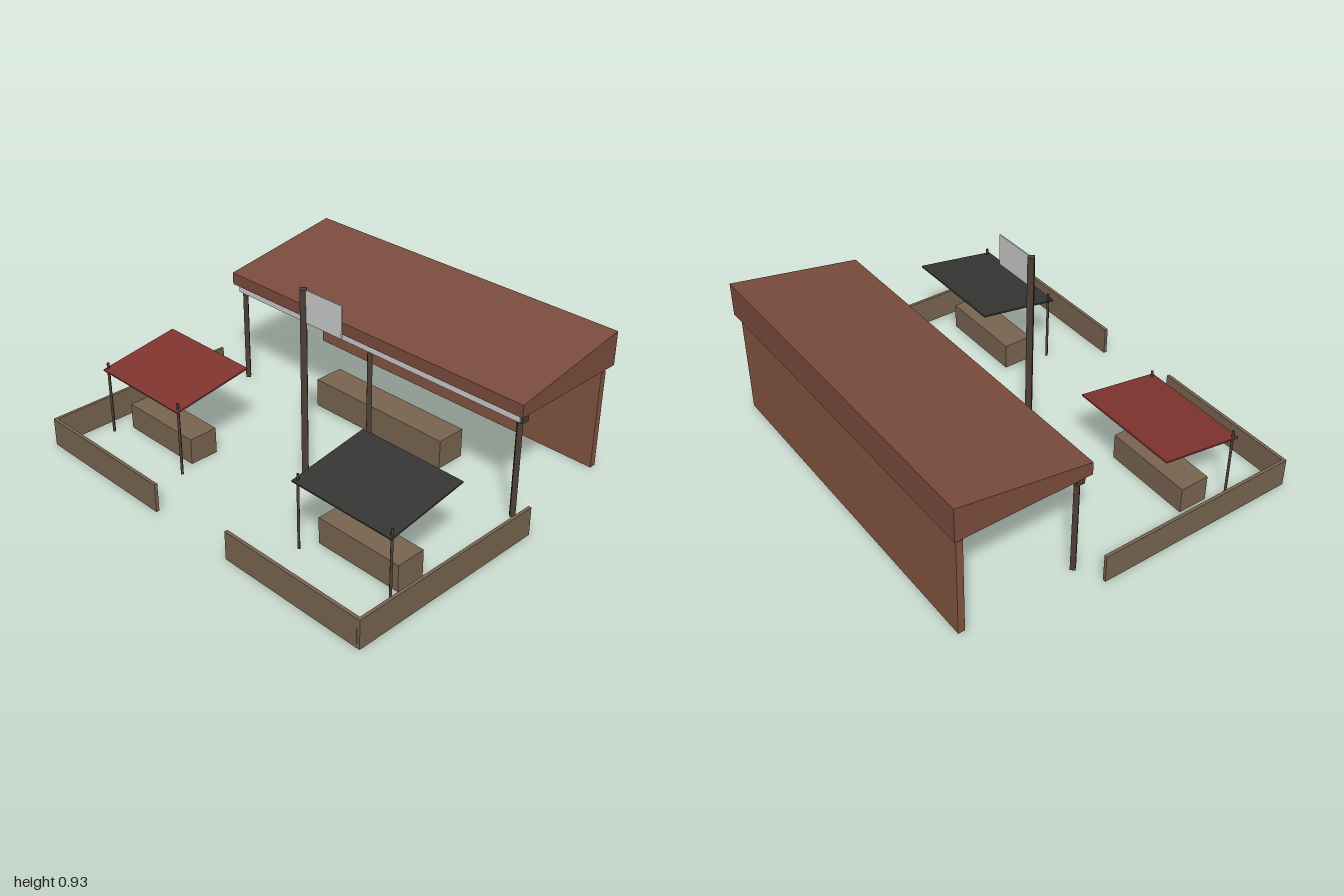
import * as THREE from 'three';

const mat = (color) => new THREE.MeshStandardMaterial({ color, flatShading: true });

export function createModel() {
  const model = new THREE.Group();
  const wood = mat(0x786450), darkWood = mat(0x4c3e34), roofBrown = mat(0x7a4c3d);
  const wallBrown = mat(0x845540), grey = mat(0xcccccc), red = mat(0x80342f), black = mat(0x353533);

  const add = (name, geometry, material, x = 0, y = 0, z = 0) => {
    const mesh = new THREE.Mesh(geometry, material);
    mesh.name = name;
    mesh.position.set(x, y, z);
    model.add(mesh);
    return mesh;
  };
  // Box given by its limits on each axis
  const box = (name, material, [x0, x1], [y0, y1], [z0, z1]) =>
    add(name, new THREE.BoxGeometry(x1 - x0, y1 - y0, z1 - z0), material,
      (x0 + x1) / 2, (y0 + y1) / 2, (z0 + z1) / 2);
  // Four-sided post standing on the ground, corners along the axes
  const post = (name, material, r, h, x, z) =>
    add(name, new THREE.CylinderGeometry(r, r, h, 4), material, x, h / 2, z);

  // Shelter: wedge roof, back wall, beam with fascia strip and three posts
  const profile = new THREE.Shape([[0.197, 0.525], [0.843, 0.525], [0.843, 0.692], [0.197, 0.586]]
    .map(([x, y]) => new THREE.Vector2(x, y)));
  const roof = new THREE.ExtrudeGeometry(profile, { depth: 1.81, bevelEnabled: false });
  roof.translate(0, 0, -0.905).rotateY(Math.PI / 2);
  add('shelterRoof', roof, roofBrown);
  box('backWall', wallBrown, [-0.88, 0.88], [0, 0.494], [-0.822, -0.79]);
  box('roofBeam', darkWood, [-0.89, 0.89], [0.48, 0.525], [-0.262, -0.222]);
  box('fasciaStrip', grey, [-0.88, 0.88], [0.485, 0.525], [-0.222, -0.214]);
  for (const x of [-0.863, 0, 0.863]) post('shelterPost', darkWood, 0.017, 0.49, x, -0.24);

  // Long bench inside the shelter
  box('longBench', wood, [-0.4, 0.4], [0, 0.145], [-0.443, -0.29]);

  // Flagpole and flag
  post('flagpole', darkWood, 0.021, 0.925, 0, 0.172);
  box('flag', grey, [0.015, 0.23], [0.772, 0.925], [0.169, 0.175]);

  for (const side of [-1, 1]) {
    // Low yard walls, open at the front middle
    box('sideWall', wood, side < 0 ? [-1, -0.985] : [0.985, 1], [0, 0.14], [-0.18, 0.84]);
    box('frontWall', wood, side < 0 ? [-0.985, -0.232] : [0.232, 0.985], [0, 0.14], [0.825, 0.841]);

    // Sloping canopy on two thin front posts, with a bench below
    const cx = side * 0.645;
    const canopy = add('canopy', new THREE.BoxGeometry(0.55, 0.008, 0.417),
      side < 0 ? red : black, cx, 0.368, 0.388);
    canopy.rotation.x = Math.atan2(0.066, 0.41);
    for (const x of [0.387, 0.907]) post('canopyPost', darkWood, 0.008, 0.37, side * x, 0.575);
    box('bench', wood, [cx - 0.225, cx + 0.225], [0, 0.13], [0.345, 0.492]);
  }
  return model;
}
